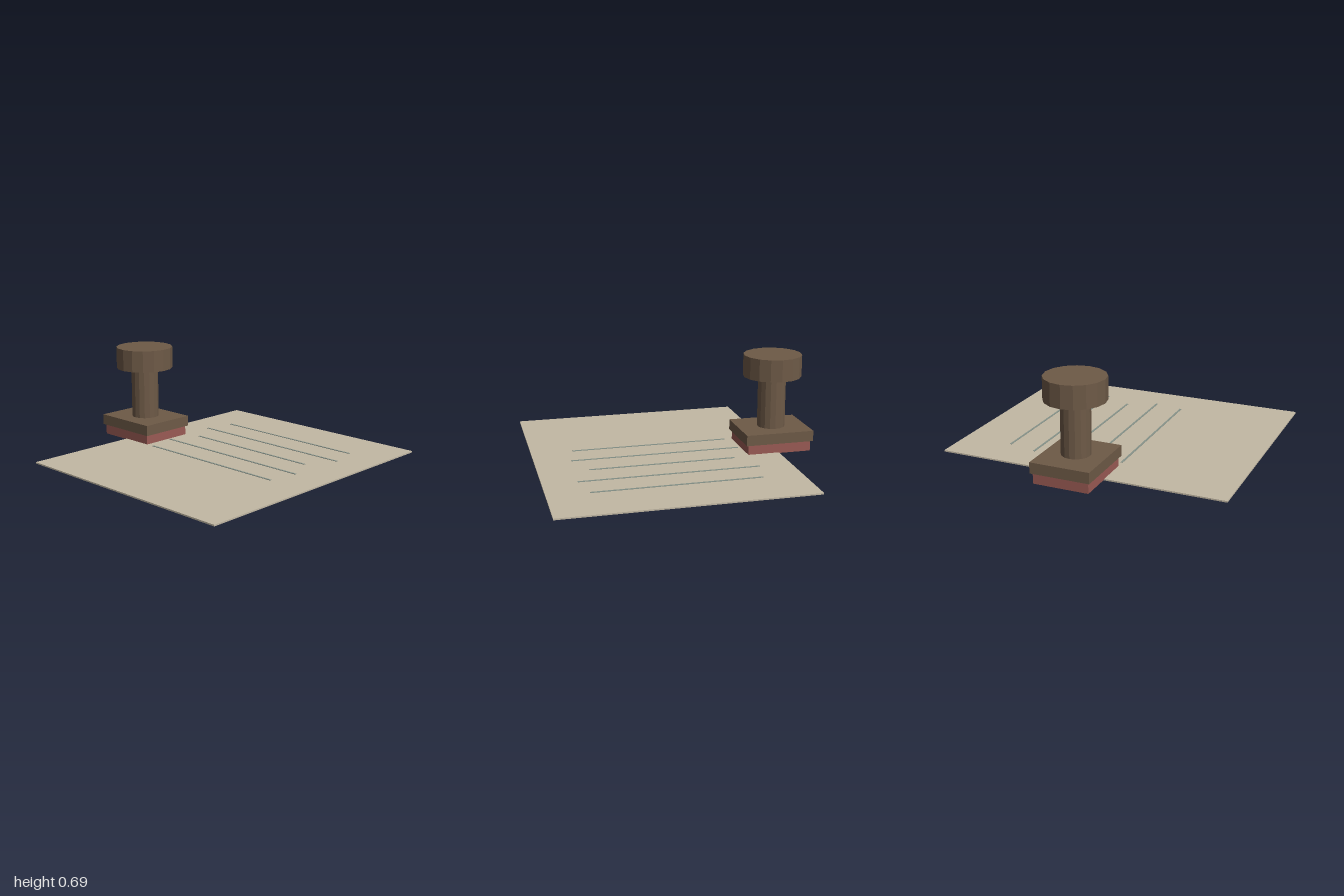
import * as THREE from 'three';

const mat = (name, color, flatShading = false) => {
  const m = new THREE.MeshStandardMaterial({ color, flatShading });
  m.name = name;
  return m;
};

export function createModel() {
  const paper = mat('parchment', 0xc2b8a4);
  const ink = mat('greyGreenInk', 0x87938a);
  const wood = mat('brownWood', 0x6e5a47, true);
  const rubber = mat('redRubber', 0x9a5a54);

  const model = new THREE.Group();
  model.name = 'stampAndDocument';

  const add = (parent, name, geometry, material, x, y, z) => {
    const mesh = new THREE.Mesh(geometry, material);
    mesh.name = name;
    mesh.position.set(x, y, z);
    parent.add(mesh);
  };

  // Sheet with five ruled lines that pass right through it
  const sheet = new THREE.Group();
  sheet.name = 'document';
  model.add(sheet);
  add(sheet, 'page', new THREE.BoxGeometry(1.685, 0.01, 2), paper, 0.123, 0.017, 0);
  [1.135, 1.23, 1.005, 1.19, 1.115].forEach((length, i) => {
    add(sheet, 'textLine' + (i + 1), new THREE.BoxGeometry(length, 0.025, 0.014), ink,
      0.12, 0.0125, -0.64 + i * 0.2065);
  });

  // Hand stamp resting on the left edge of the sheet
  const stamp = new THREE.Group();
  stamp.name = 'handStamp';
  stamp.position.set(-0.723, 0, -0.002);
  model.add(stamp);
  add(stamp, 'rubberPad', new THREE.BoxGeometry(0.455, 0.073, 0.382), rubber, 0, 0.0535, 0);
  add(stamp, 'base', new THREE.BoxGeometry(0.487, 0.075, 0.41), wood, 0, 0.1275, 0);
  add(stamp, 'handle', new THREE.CylinderGeometry(0.098, 0.098, 0.365, 16), wood, 0, 0.3475, 0);
  add(stamp, 'knob', new THREE.CylinderGeometry(0.205, 0.205, 0.155, 16), wood, 0, 0.6075, 0);

  return model;
}
